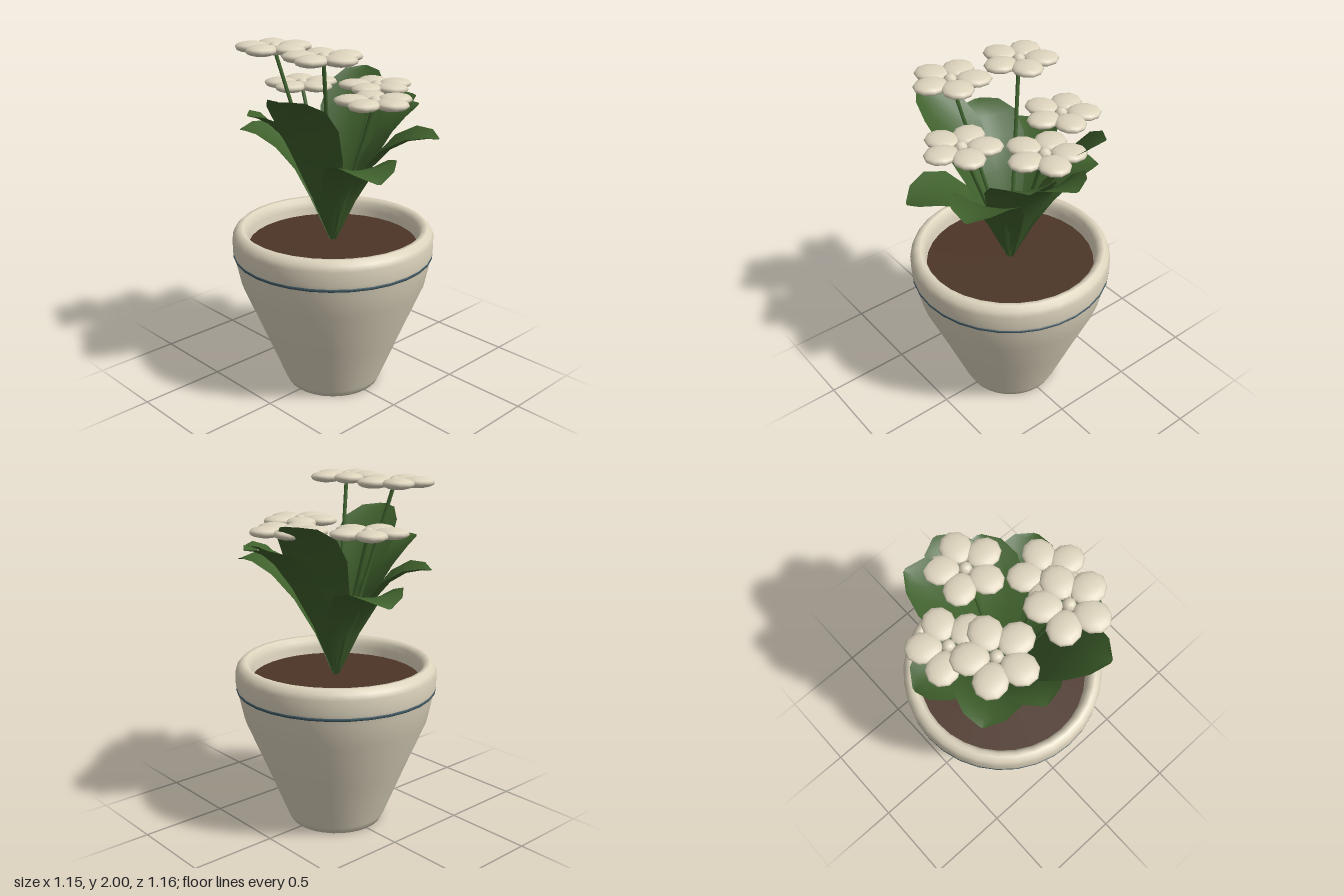
import * as THREE from 'three';

const mat = (name, color, side = THREE.FrontSide) => {
  const m = new THREE.MeshStandardMaterial({ color, side });
  m.name = name;
  return m;
};

// Leaf blade: cupped cross-sections swept along an arching midrib, growing toward +x.
function leafGeometry(reach, tipY, ctrlX, ctrlY) {
  const rib = new THREE.QuadraticBezierCurve(
    new THREE.Vector2(0.01, 0.88), new THREE.Vector2(ctrlX, ctrlY), new THREE.Vector2(reach, tipY));
  const rows = [[0, 0.02], [0.2, 0.098], [0.4, 0.155], [0.6, 0.185], [0.78, 0.17], [0.92, 0.105], [1, 0.012]];
  const across = 4, pos = [], index = [];
  for (const [t, half] of rows) {
    const p = rib.getPoint(t), d = rib.getTangent(t);
    for (let j = 0; j <= across; j++) {
      const s = (j / across) * 2 - 1;
      const cup = 0.2 * half * s * s;
      pos.push(p.x - d.y * cup, p.y + d.x * cup, s * half);
    }
  }
  for (let i = 0; i < rows.length - 1; i++) {
    for (let j = 0; j < across; j++) {
      const a = i * (across + 1) + j, b = a + across + 1;
      index.push(a, a + 1, b, b, a + 1, b + 1);
    }
  }
  const g = new THREE.BufferGeometry();
  g.setAttribute('position', new THREE.Float32BufferAttribute(pos, 3));
  g.setIndex(index);
  g.computeVertexNormals();
  return g;
}

export function createModel() {
  const model = new THREE.Group();
  model.name = 'pottedFlowers';
  const cream = mat('cream', 0xddd4bd);
  const slate = mat('slate', 0x3c5560);
  const earth = mat('earth', 0x4c3528);
  const leafGreen = mat('leafGreen', 0x3f602c, THREE.DoubleSide);
  const stemGreen = mat('stemGreen', 0x41652f);

  const add = (parent, name, geometry, material, x = 0, y = 0, z = 0) => {
    const m = new THREE.Mesh(geometry, material);
    m.name = name;
    m.position.set(x, y, z);
    parent.add(m);
    return m;
  };

  // Pot with a rolled rim
  const profile = [
    [0, 0], [0.27, 0], [0.29, 0.04], [0.41, 0.34], [0.53, 0.63], [0.56, 0.77], [0.567, 0.805], [0.575, 0.83],
    [0.576, 0.91], [0.565, 0.94], [0.54, 0.965], [0.515, 0.963], [0.495, 0.94], [0.488, 0.9], [0.48, 0.82],
  ].map(([x, y]) => new THREE.Vector2(x, y));
  add(model, 'pot', new THREE.LatheGeometry(profile, 32), cream);

  // Painted ring under the rim
  add(model, 'potBand', new THREE.TorusGeometry(0.564, 0.01, 6, 32).rotateX(Math.PI / 2), slate, 0, 0.805, 0);

  // Soil
  add(model, 'soil', new THREE.CircleGeometry(0.487, 32).rotateX(-Math.PI / 2), earth, 0, 0.86, 0);

  // Leaves: plan angle in degrees (from +x toward +z), reach, tip height, midrib control point
  const leaves = [
    [20, 0.58, 1.37, 0.25, 1.55],
    [70, 0.59, 1.79, 0.26, 1.65],
    [107, 0.5, 1.65, 0.22, 1.6],
    [143, 0.53, 1.5, 0.24, 1.56],
    [191, 0.54, 1.37, 0.25, 1.55],
    [245, 0.53, 1.79, 0.24, 1.63],
    [275, 0.585, 1.65, 0.25, 1.62],
    [298, 0.5, 1.64, 0.22, 1.58],
    [330, 0.59, 1.51, 0.25, 1.58],
  ];
  for (const [deg, reach, tipY, cx, cy] of leaves) {
    const leaf = add(model, 'leaf', leafGeometry(reach, tipY, cx, cy), leafGreen);
    leaf.rotation.y = -THREE.MathUtils.degToRad(deg);
  }

  // Flowers: stem, five plump petals and a small button centre
  const petalGeo = new THREE.SphereGeometry(1, 10, 8).scale(0.096, 0.031, 0.087);
  const centreGeo = new THREE.SphereGeometry(0.037, 8, 6);
  const flowers = [
    [0.028, 1.73, -0.31], [-0.31, 1.73, -0.05], [0.315, 1.73, 0.002],
    [-0.232, 1.97, 0.215], [0.192, 1.97, 0.25],
  ];
  for (const [x, y, z] of flowers) {
    const flower = new THREE.Group();
    flower.name = 'flower';
    flower.position.set(x, y, z);
    model.add(flower);
    for (let i = 0; i < 5; i++) {
      const a = (i / 5) * Math.PI * 2;
      const petal = add(flower, 'petal', petalGeo, cream, Math.cos(a) * 0.122, 0, Math.sin(a) * 0.122);
      petal.rotation.y = -a;
    }
    add(flower, 'flowerCentre', centreGeo, cream, 0, -0.007, 0);

    const path = new THREE.LineCurve3(new THREE.Vector3(0, 0.88, 0), new THREE.Vector3(x, y - 0.005, z));
    add(model, 'stem', new THREE.TubeGeometry(path, 1, 0.011, 6), stemGreen);
  }
  return model;
}
